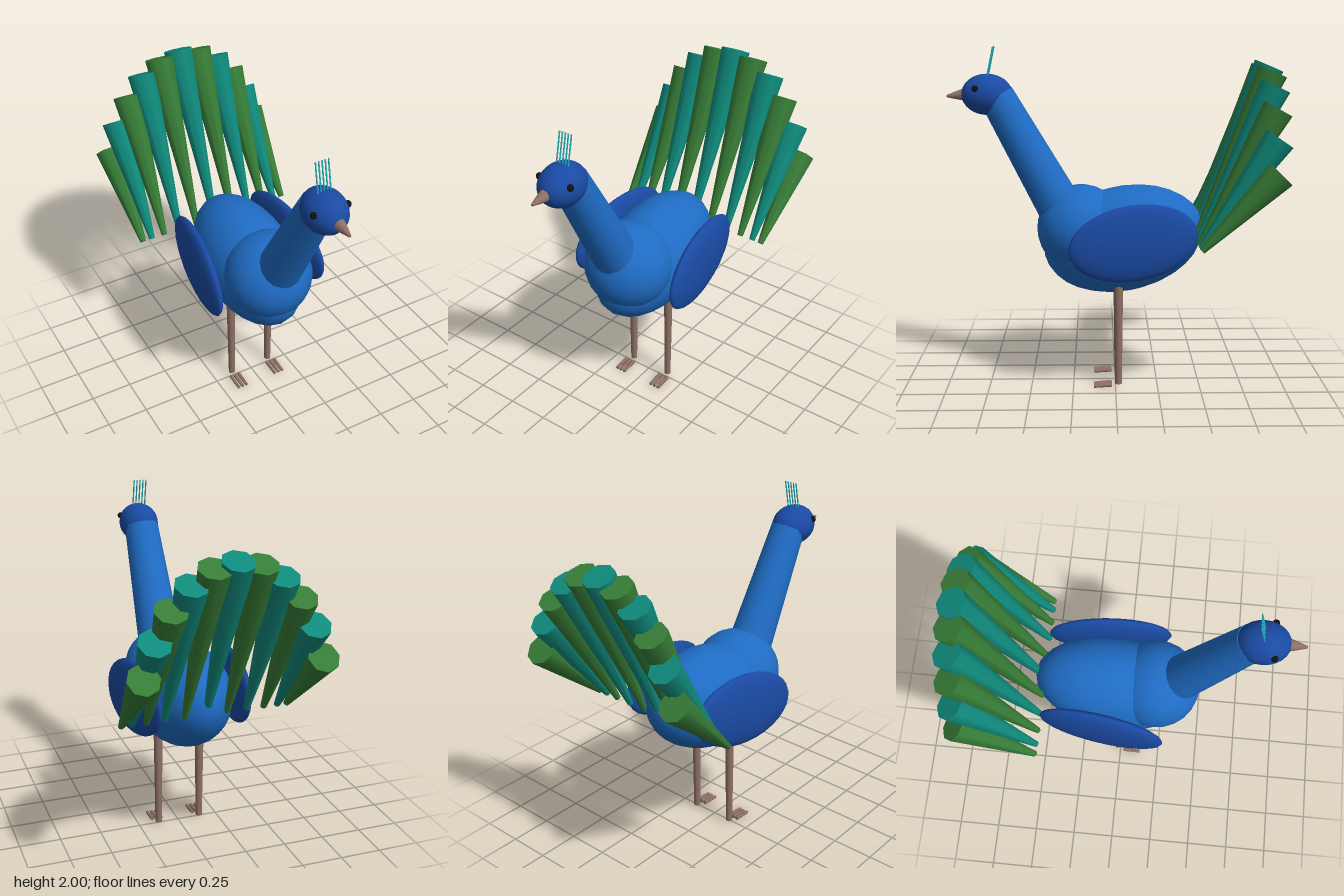
import * as THREE from 'three';

const material = (color) => new THREE.MeshStandardMaterial({ color });
const BODY = material(0x1f6cc4);
const DARK = material(0x1a4aa3);
const TEAL = material(0x0f8a7c);
const GREEN = material(0x377d37);
const CREST = material(0x22b5c4);
const HORN = material(0x8f7166);
const EYE = material(0x111111);

export function createModel() {
  const model = new THREE.Group();

  const add = (name, geometry, mat) => {
    const mesh = new THREE.Mesh(geometry, mat);
    mesh.name = name;
    model.add(mesh);
    return mesh;
  };

  const ellipsoid = (name, mat, position, radii) => {
    const mesh = add(name, new THREE.SphereGeometry(1, 24, 16), mat);
    mesh.position.set(...position);
    mesh.scale.set(...radii);
    return mesh;
  };

  // Tapered rod running from point a (radius ra) to point b (radius rb)
  const rod = (name, mat, a, b, ra, rb, sides) => {
    const from = new THREE.Vector3(...a);
    const to = new THREE.Vector3(...b);
    const axis = to.clone().sub(from);
    const mesh = add(name, new THREE.CylinderGeometry(rb, ra, axis.length(), sides), mat);
    mesh.position.copy(from).add(to).multiplyScalar(0.5);
    mesh.quaternion.setFromUnitVectors(new THREE.Vector3(0, 1, 0), axis.normalize());
    return mesh;
  };

  // Body and breast
  ellipsoid('body', BODY, [0, 0.877, -0.05], [0.27, 0.311, 0.477]).rotation.x = 0.22;
  ellipsoid('breast', BODY, [0, 0.94, 0.2], [0.26, 0.26, 0.26]);

  // Neck and head
  rod('neck', BODY, [0, 1.02, 0.3], [0, 1.72, 0.685], 0.135, 0.103, 16);
  ellipsoid('head', DARK, [0, 1.728, 0.738], [0.118, 0.118, 0.148]);
  rod('beak', HORN, [0, 1.73, 0.84], [0, 1.718, 0.97], 0.045, 0.007, 10);

  // Crest of thin upright plumes
  for (let i = -2; i <= 2; i++) {
    rod('crestPlume', CREST, [i * 0.019, 1.82, 0.735], [i * 0.019, 2, 0.696], 0.004, 0.004, 6);
  }

  // Paired parts
  for (const side of [1, -1]) {
    const label = side > 0 ? 'left' : 'right';
    ellipsoid(label + 'Eye', EYE, [side * 0.1, 1.767, 0.795], [0.019, 0.019, 0.019]);

    const wing = ellipsoid(label + 'Wing', DARK, [side * 0.303, 0.912, -0.1], [0.055, 0.219, 0.373]);
    wing.rotation.set(0.145, side * 0.112, 0);

    rod(label + 'Leg', HORN, [side * 0.132, 0.02, -0.018], [side * 0.132, 0.66, -0.018], 0.02, 0.027, 10);
    for (let t = -1; t <= 1; t++) {
      const x = side * 0.132 + t * 0.027;
      rod(label + 'Toe', HORN, [x, 0.021, 0.022], [x, 0.012, 0.128], 0.012, 0.01, 8);
    }
  }

  // Tail fan: feathers shorten and lean back further towards the sides
  for (let i = -5; i <= 5; i++) {
    const angle = i * 0.24;
    const x = 0.525 * Math.sin(angle);
    const top = 1.02 + 0.87 * Math.cos(angle);
    rod('tailFeather', i % 2 ? GREEN : TEAL, [x, 0.91, -0.468], [x, top, -0.886], 0.018, 0.09, 8);
  }

  return model;
}
